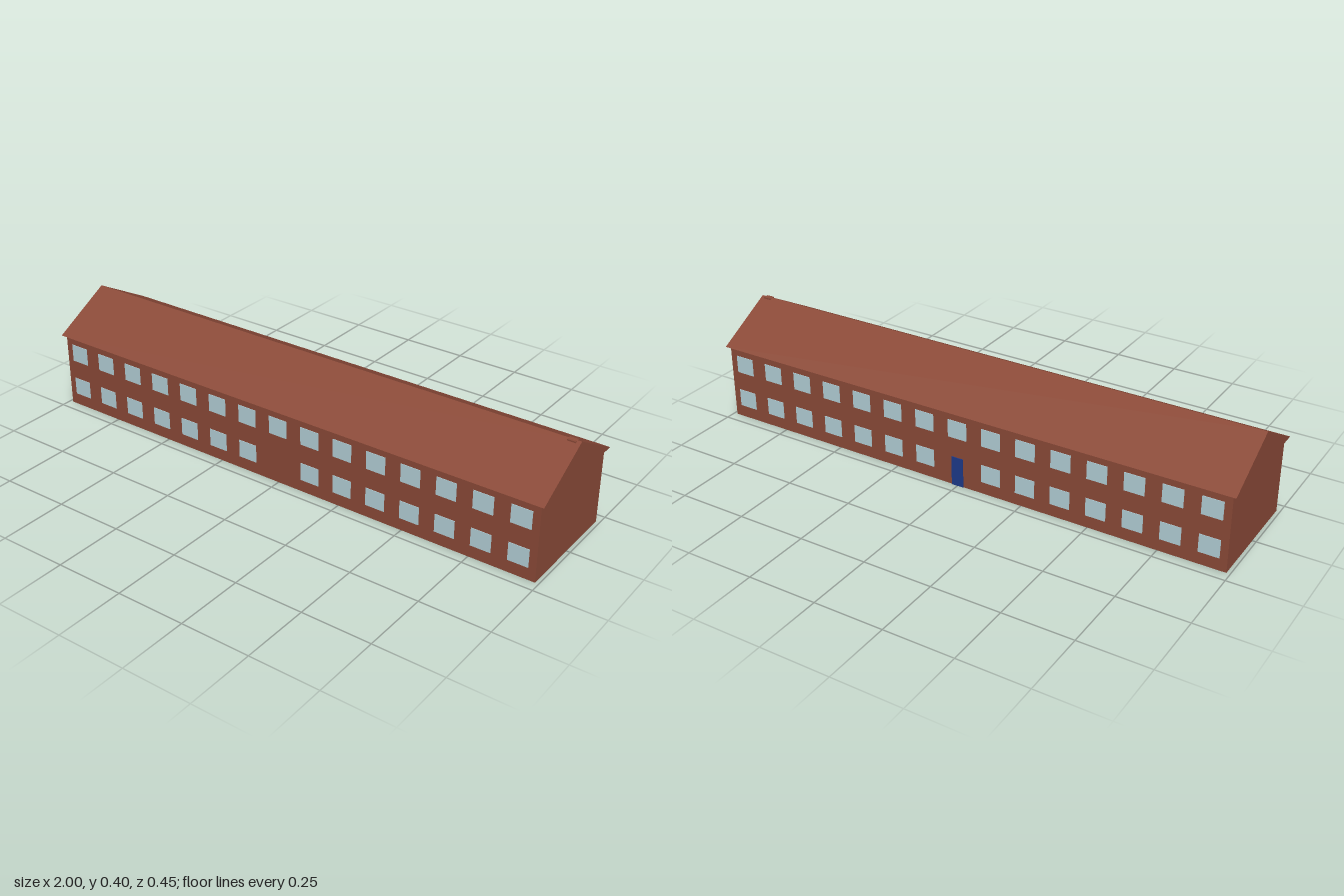
import * as THREE from 'three';

export function createModel() {
  const building = new THREE.Group();
  building.name = 'longBrickBuilding';

  const material = (name, color) => {
    const m = new THREE.MeshStandardMaterial({ color });
    m.name = name;
    return m;
  };
  const brick = material('brick', 0x8b4a38);
  const glass = material('paleBlueGlass', 0xb4d0d8);
  const blue = material('blueDoor', 0x1e3a8a);

  const addBox = (name, mat, size, position, parent = building) => {
    const mesh = new THREE.Mesh(new THREE.BoxGeometry(...size), mat);
    mesh.name = name;
    mesh.position.set(...position);
    parent.add(mesh);
    return mesh;
  };

  const wallHeight = 0.28;
  const wallDepth = 0.42;

  // Walls
  addBox('walls', brick, [1.974, wallHeight, wallDepth], [0, wallHeight / 2, 0]);

  // Gable roof: a triangular prism running along x
  const gable = new THREE.Shape([
    new THREE.Vector2(-0.223, wallHeight),
    new THREE.Vector2(0.223, wallHeight),
    new THREE.Vector2(0, 0.404),
  ]);
  const roofGeometry = new THREE.ExtrudeGeometry(gable, { depth: 2, bevelEnabled: false });
  roofGeometry.translate(0, 0, -1).rotateY(Math.PI / 2);
  const roof = new THREE.Mesh(roofGeometry, brick);
  roof.name = 'roof';
  building.add(roof);

  // Small chimney stub, almost flush with the ridge
  addBox('chimneyStub', brick, [0.03, 0.04, 0.022], [0.97, 0.383, 0]);

  // Two rows of windows on each long side, with the lower middle bay left out
  const bays = 15;
  const spacing = 0.132;
  for (const side of [1, -1]) {
    const windows = new THREE.Group();
    windows.name = side > 0 ? 'frontWindows' : 'backWindows';
    building.add(windows);
    for (const [row, y] of [['lower', 0.078], ['upper', 0.216]]) {
      for (let i = 0; i < bays; i++) {
        const bay = i - (bays - 1) / 2;
        if (row === 'lower' && bay === 0) continue;
        addBox(`${row}Window`, glass, [0.073, 0.066, 0.004],
          [bay * spacing, y, side * wallDepth / 2], windows);
      }
    }
  }

  // Door in the middle of the back
  addBox('backDoor', blue, [0.045, 0.109, 0.006], [0, 0.0545, -wallDepth / 2]);

  return building;
}
